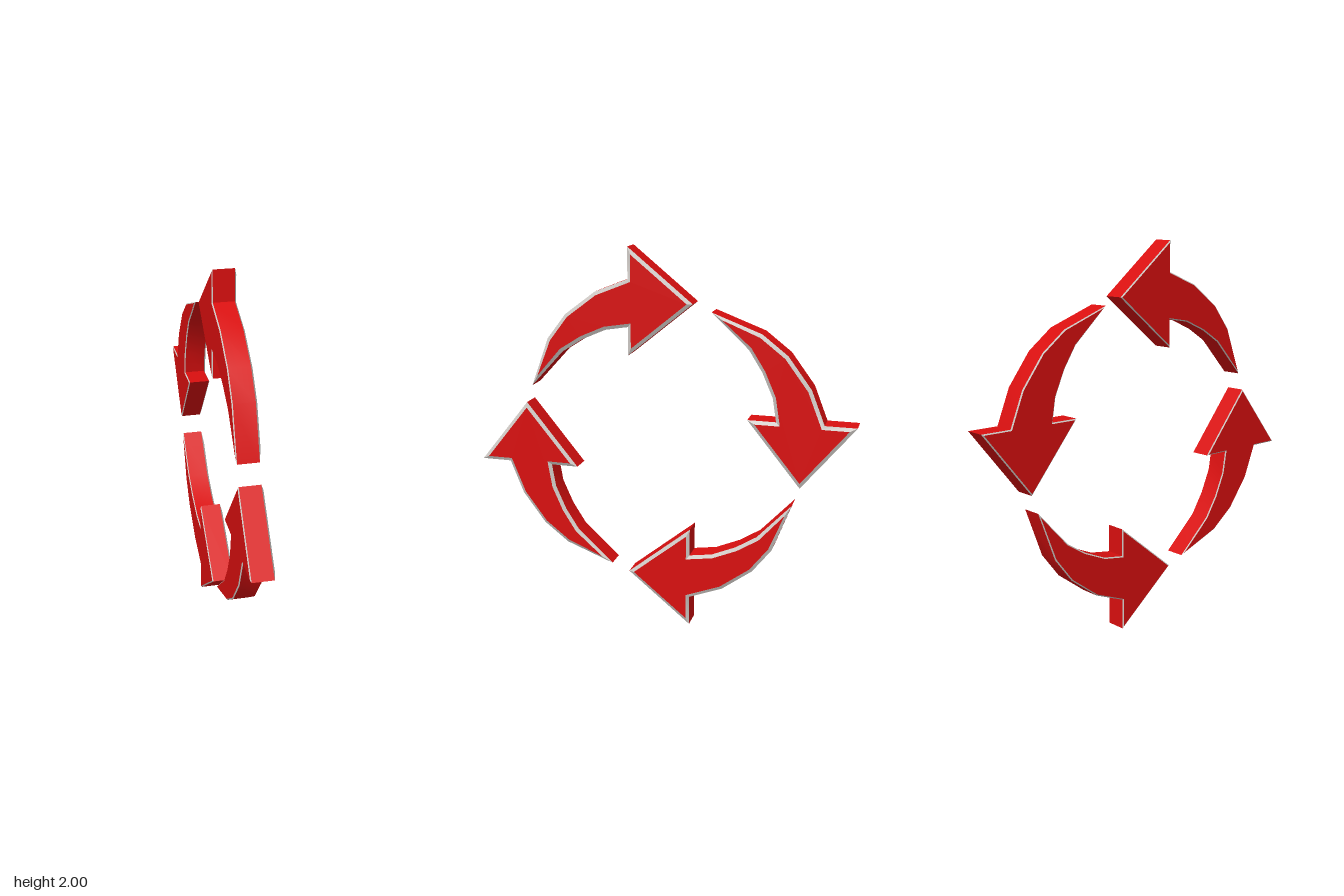
import * as THREE from 'three';
import { toCreasedNormals } from 'three/addons/utils/BufferGeometryUtils.js';

const red = new THREE.MeshStandardMaterial({ color: 0xd90f0f });
red.name = 'red';
const silver = new THREE.MeshStandardMaterial({ color: 0xcfcac6 });
silver.name = 'silver';

// Curved arrow outline around the ring's centre, counter-clockwise from the tip
const outline = [
  [0.17, 0.73], [-0.165, 1.0], [-0.165, 0.84], [-0.34, 0.77], [-0.5, 0.65], [-0.6, 0.52],
  [-0.695, 0.265], [-0.52, 0.455], [-0.41, 0.525], [-0.285, 0.58], [-0.165, 0.6], [-0.165, 0.455],
].map(([x, y]) => new THREE.Vector2(x, y));

// Mitred inset of the outline, limited at the sharp tail
function inset(points, amount) {
  const n = points.length;
  return points.map((p, i) => {
    const a = p.clone().sub(points[(i + n - 1) % n]).normalize();
    const b = points[(i + 1) % n].clone().sub(p).normalize();
    const m = new THREE.Vector2(-a.y - b.y, a.x + b.x).normalize();
    const length = Math.min(amount / Math.max(m.dot(new THREE.Vector2(-a.y, a.x)), 0.01), amount * 3.6);
    return p.clone().addScaledVector(m, length);
  });
}

// Closed band of quads joining a lower loop to an upper loop
function band(lower, z0, upper, z1) {
  const position = [];
  lower.forEach((a, i) => {
    const j = (i + 1) % lower.length;
    const b = lower[j], c = upper[j], d = upper[i];
    position.push(a.x, a.y, z0, b.x, b.y, z0, c.x, c.y, z1);
    position.push(a.x, a.y, z0, c.x, c.y, z1, d.x, d.y, z1);
  });
  const geometry = new THREE.BufferGeometry();
  geometry.setAttribute('position', new THREE.Float32BufferAttribute(position, 3));
  return toCreasedNormals(geometry, 0.6);
}

function part(name, geometry, material) {
  // Turn the flat outline so that its thickness runs along x
  const mesh = new THREE.Mesh(geometry.rotateY(Math.PI / 2), material);
  mesh.name = name;
  return mesh;
}

function createArrow() {
  const arrow = new THREE.Group();
  const rightFace = inset(outline, 0.018);
  const leftFace = inset(outline, 0.006);
  const mirrored = leftFace.map((p) => new THREE.Vector2(-p.x, p.y));
  arrow.add(
    part('arrowSides', band(outline, -0.055, outline, 0.05), red),
    // Bevelled edges
    part('outerTrim', band(outline, 0.05, rightFace, 0.06), silver),
    part('innerTrim', band(leftFace, -0.06, outline, -0.055), silver),
    // Flat faces
    part('outerFace', new THREE.ShapeGeometry(new THREE.Shape(rightFace)).translate(0, 0, 0.06), red),
    part('innerFace', new THREE.ShapeGeometry(new THREE.Shape(mirrored)).rotateY(Math.PI).translate(0, 0, -0.06), red),
  );
  return arrow;
}

export function createModel() {
  const model = new THREE.Group();
  model.name = 'arrowRing';
  // Four arrows chasing each other around the ring
  for (let i = 0; i < 4; i++) {
    const arrow = createArrow();
    arrow.name = `curvedArrow${i + 1}`;
    arrow.rotation.x = (-i * Math.PI) / 2;
    arrow.position.y = 1;
    model.add(arrow);
  }
  return model;
}
